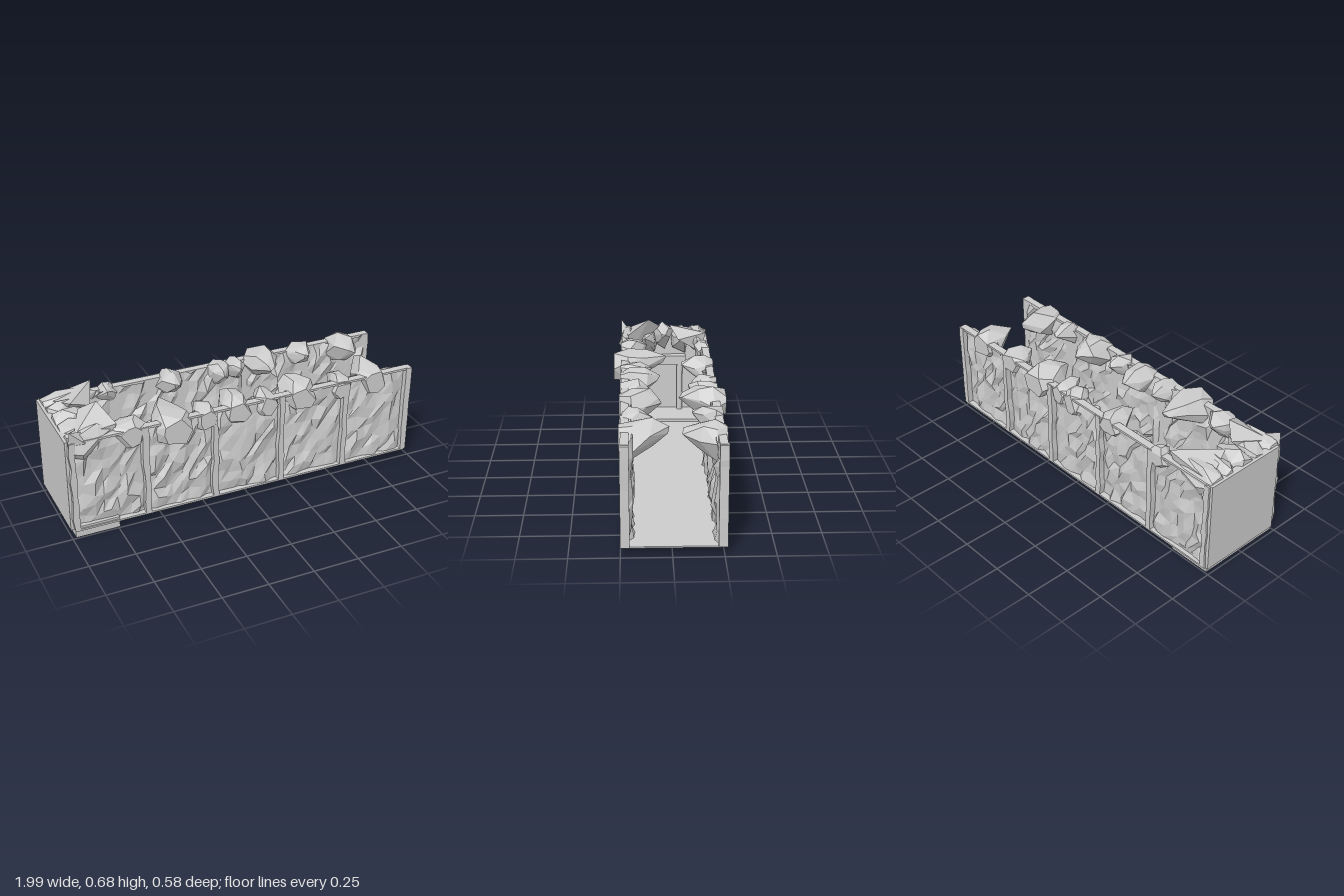
import * as THREE from 'three';
import { ConvexGeometry } from 'three/addons/geometries/ConvexGeometry.js';

const stone = new THREE.MeshStandardMaterial({ color: 0xcccccc, flatShading: true, side: THREE.DoubleSide });
const smooth = new THREE.MeshStandardMaterial({ color: 0xcccccc });

// Repeatable noise in -1..1
function hash(a, b, c) {
  const v = Math.sin(a * 127.1 + b * 311.7 + c * 74.7) * 43758.5453;
  return 2 * (v - Math.floor(v)) - 1;
}

function add(parent, name, geometry, material = stone) {
  const mesh = new THREE.Mesh(geometry, material);
  mesh.name = name;
  parent.add(mesh);
  return mesh;
}

function box(parent, name, x0, x1, y0, y1, z0, z1) {
  const g = new THREE.BoxGeometry(x1 - x0, y1 - y0, z1 - z0);
  g.translate((x0 + x1) / 2, (y0 + y1) / 2, (z0 + z1) / 2);
  return add(parent, name, g);
}

// Rough stone sheet: a grid whose vertices are shifted by noise
function relief(parent, name, x0, x1, z, depth, facing, seed) {
  const cols = 8, rows = 8, w = x1 - x0, h = 0.52;
  const g = new THREE.PlaneGeometry(w, h, cols, rows);
  const p = g.attributes.position;
  for (let i = 0; i < p.count; i++) {
    const c = i % (cols + 1), r = Math.floor(i / (cols + 1));
    const inner = c > 0 && c < cols ? 1 : 0;
    const mid = r > 0 && r < rows ? 1 : 0;
    p.setX(i, p.getX(i) + inner * 0.015 * hash(c, r, seed));
    p.setY(i, p.getY(i) + mid * 0.02 * hash(c, r, seed + 9));
    p.setZ(i, depth * (inner ? hash(c, r, seed + 5) : -1));
  }
  if (facing < 0) g.rotateY(Math.PI);
  g.translate((x0 + x1) / 2, 0.302, z);
  return add(parent, name, g);
}

// Upright with slightly wavering edges
function post(parent, x, z, depth, seed) {
  const g = new THREE.BoxGeometry(0.032, 0.52, depth, 1, 7, 1);
  const p = g.attributes.position;
  for (let i = 0; i < p.count; i++) {
    const row = Math.round(p.getY(i) * 100);
    p.setX(i, p.getX(i) + 0.006 * hash(row, Math.sign(p.getX(i)), seed));
  }
  g.translate(x, 0.302, z);
  add(parent, 'wallPost', g);
}

// Tapered boulder: blunt outer face, narrowing along its reach.
// Local +z points into the passage, origin is the centre of the outer face.
function boulder(parent, name, width, height, reach, seed) {
  const rings = [[0, 0.72, 0], [0.28, 1, 0], [0.65, 0.72, 0.12], [1, 0.2, 0.2]];
  const pts = [];
  rings.forEach(([t, size, lift], k) => {
    const n = k === 3 ? 3 : 6;
    for (let i = 0; i < n; i++) {
      const a = (i / n) * Math.PI * 2 + 0.5 * hash(k, i, seed);
      const s = size * (1 + 0.13 * hash(i, k, seed + 3));
      pts.push(new THREE.Vector3(
        Math.cos(a) * s * width / 2,
        Math.sin(a) * s * height / 2 + lift * height,
        t * reach * (k ? 1 + 0.1 * hash(i, seed, k) : 1)));
    }
  });
  return add(parent, name, new ConvexGeometry(pts));
}

// One long wall; s is +1 for the front and -1 for the back
function wall(s, outer, rocks) {
  const group = new THREE.Group();
  group.name = s > 0 ? 'frontWall' : 'backWall';
  const inner = outer - 0.045;
  const posts = [-0.97, -0.58, -0.195, 0.19, 0.575, 0.965];
  const span = (name, x0, x1, y0, y1, a, b) =>
    box(group, name, x0, x1, y0, y1, Math.min(s * a, s * b), Math.max(s * a, s * b));
  span('wallCore', -0.98, 0.97, 0.04, 0.555, inner, inner + 0.012);
  span('wallFoot', -0.98, 0.97, 0.04, 0.05, inner, outer);
  span('wallEnd', 0.95, 0.982, 0.042, 0.562, inner, outer);
  posts.forEach((x, i) => {
    post(group, x, s * (outer - 0.022), 0.044, i + s);
    if (i === 5) return;
    relief(group, 'outerStonePanel', x, posts[i + 1], s * (outer - 0.022), 0.016, s, i * 3 + s * 20);
    relief(group, 'innerStonePanel', x, posts[i + 1], s * (inner - 0.008), 0.02, -s, i * 7 + s * 40);
    span('wallCap', x, posts[i + 1], 0.552, 0.564, inner, outer - 0.004);
  });
  // Boulders along the crest: x, y, width, height, inner tip z, outer z
  rocks.forEach(([x, y, w, h, tip, out], i) => {
    const b = boulder(group, 'crestBoulder', w, h, out - tip, i * 5 + s * 13);
    b.position.set(x, y, s * out);
    if (s > 0) b.rotation.y = Math.PI;
  });
  return group;
}

export function createModel() {
  const model = new THREE.Group();
  model.name = 'stonePassage';

  // Floor and entrance step
  box(model, 'floor', -0.98, 0.975, 0.038, 0.046, -0.25, 0.24);
  box(model, 'step', -0.98, -0.74, 0, 0.0625, -0.242, 0.242);

  model.add(wall(1, 0.25, [
    [-0.65, 0.52, 0.19, 0.18, 0.1, 0.25], [-0.42, 0.51, 0.22, 0.2, 0.01, 0.29],
    [-0.235, 0.52, 0.13, 0.16, 0.09, 0.252], [-0.06, 0.52, 0.19, 0.18, 0.04, 0.252],
    [0.11, 0.52, 0.14, 0.16, 0.1, 0.252], [0.31, 0.52, 0.21, 0.19, 0.03, 0.255],
    [0.555, 0.52, 0.13, 0.15, 0.1, 0.252], [0.75, 0.52, 0.2, 0.19, 0.02, 0.255],
  ]));
  model.add(wall(-1, 0.265, [
    [-0.62, 0.53, 0.15, 0.13, 0.18, 0.265], [-0.27, 0.53, 0.16, 0.16, 0.1, 0.265],
    [0.03, 0.52, 0.14, 0.16, 0.13, 0.265], [0.12, 0.53, 0.13, 0.15, 0.11, 0.265],
    [0.28, 0.53, 0.22, 0.18, 0.07, 0.295], [0.52, 0.53, 0.16, 0.15, 0.12, 0.265],
    [0.78, 0.52, 0.2, 0.19, 0.07, 0.268],
  ]));

  // End wall with a doorway frame on its inner face
  const end = new THREE.Group();
  end.name = 'endWall';
  box(end, 'endPanel', -1, -0.96, 0.04, 0.565, -0.255, 0.225);
  box(end, 'lintel', -0.965, -0.91, 0.355, 0.412, -0.141, 0.141);
  for (const z of [-0.105, 0.102]) {
    const g = new THREE.CylinderGeometry(0.0175, 0.0175, 0.295, 16);
    add(end, 'doorPost', g, smooth).position.set(-0.935, 0.21, z);
  }
  // Boulders over the doorway: z, y, width, height, reach
  [[-0.2, 0.53, 0.16, 0.16, 0.28], [-0.11, 0.52, 0.13, 0.18, 0.2], [0.0, 0.54, 0.13, 0.17, 0.18],
    [0.1, 0.52, 0.14, 0.18, 0.22], [0.2, 0.53, 0.13, 0.17, 0.24]].forEach(([z, y, w, h, reach], i) => {
    const b = boulder(end, 'doorwayBoulder', w, h, reach, i * 11 + 4);
    b.position.set(-0.985, y, z);
    b.rotation.y = Math.PI / 2;
  });
  // Sharp slabs leaning into the two corners
  const shard = (pts) => add(end, 'cornerShard', new ConvexGeometry(pts.map((p) => new THREE.Vector3(...p))));
  shard([[-0.95, 0.58, 0.22], [-0.72, 0.6, 0.21], [-0.78, 0.68, 0.085], [-0.86, 0.62, 0.02],
    [-0.9, 0.43, 0.2], [-0.76, 0.47, 0.2]]);
  shard([[-0.97, 0.57, -0.24], [-0.7, 0.62, -0.25], [-0.76, 0.56, -0.09], [-0.88, 0.62, -0.04],
    [-0.9, 0.45, -0.22], [-0.74, 0.49, -0.22]]);
  shard([[-0.99, 0.55, 0.24], [-0.98, 0.628, 0.25], [-0.88, 0.59, 0.2], [-0.92, 0.5, 0.22], [-0.9, 0.55, 0.25]]);
  model.add(end);

  return model;
}
